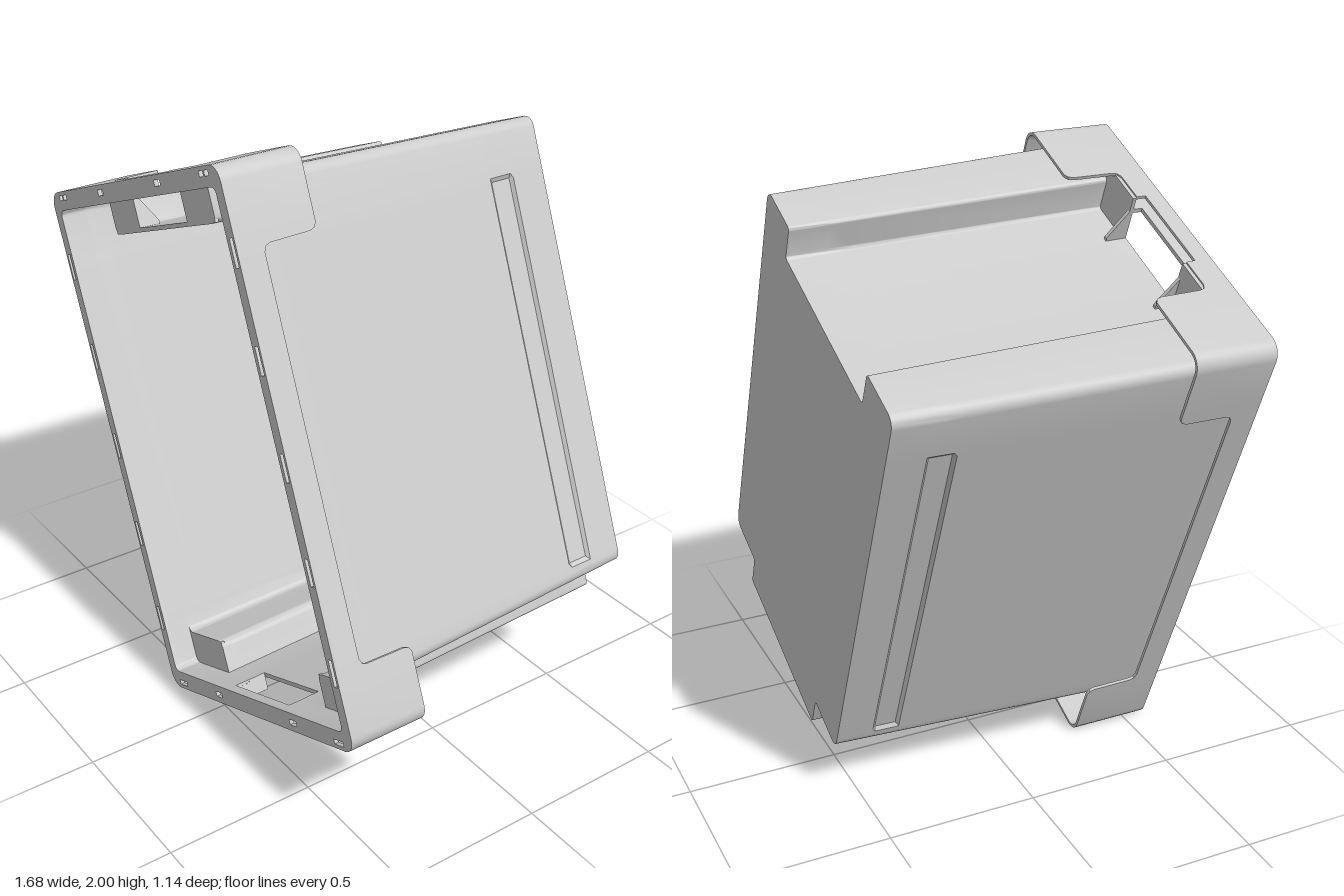
import * as THREE from 'three';
import { toCreasedNormals } from 'three/addons/utils/BufferGeometryUtils.js';

const material = new THREE.MeshStandardMaterial({ color: 0xcccccc });
const FRONT = 0.575, BACK = -0.57, SHELF = 0.49; // depth levels
const STEP_X = 0.32;                             // half width of the end-wall steps

function addMesh(group, name, geometry) {
  const mesh = new THREE.Mesh(geometry, material);
  mesh.name = name;
  group.add(mesh);
  return mesh;
}

function addBox(group, name, x0, x1, y0, y1, z0, z1) {
  addMesh(group, name, new THREE.BoxGeometry(x1 - x0, y1 - y0, z1 - z0))
    .position.set((x0 + x1) / 2, (y0 + y1) / 2, (z0 + z1) / 2);
}

// Half outline (x > 0, bottom to top) of [x, y, z, cornerRadius], mirrored to a closed
// counter-clockwise ring with its corners rounded.
function makeRing(half) {
  const pts = [...half, ...half.map(([x, y, z, r]) => [-x, y, z, r]).reverse()];
  const ring = [];
  pts.forEach(([x, y, z, r = 0], i) => {
    const c = new THREE.Vector3(x, y, z);
    if (!r) return ring.push(c);
    const toward = ([px, py]) =>
      new THREE.Vector3(px - x, py - y, 0).setLength(r).add(c);
    const a = toward(pts[(i + pts.length - 1) % pts.length]);
    const b = toward(pts[(i + 1) % pts.length]);
    // circular-looking corner: cubic with handles at 55% of the radius
    const curve = new THREE.CubicBezierCurve3(a, a.clone().lerp(c, 0.55), b.clone().lerp(c, 0.55), b);
    ring.push(...curve.getPoints(6));
  });
  return ring;
}

// Ring moved inward by t with mitred corners
function inset(ring, t) {
  const n = ring.length;
  const normal = (a, b) => new THREE.Vector2(b.y - a.y, a.x - b.x).normalize();
  return ring.map((p, i) => {
    const n1 = normal(ring[(i + n - 1) % n], p), n2 = normal(p, ring[(i + 1) % n]);
    const k = t / (1 + n1.dot(n2));
    return new THREE.Vector3(p.x - (n1.x + n2.x) * k, p.y - (n1.y + n2.y) * k, p.z);
  });
}

// Solid wall of thickness t through stacked rings; cells refused by keep() become openings
function wallGeometry(rings, t, keep = () => true) {
  const inner = rings.map((r) => inset(r, t));
  const n = rings[0].length, m = rings.length - 1, pos = [];
  const quad = (a, b, c, d) => [a, b, c, a, c, d].forEach((p) => pos.push(p.x, p.y, p.z));
  const solid = (i, j) => j >= 0 && j < m && keep((i + n) % n, j, n);
  for (let j = 0; j < m; j++) for (let i = 0; i < n; i++) {
    if (!solid(i, j)) continue;
    const k = (i + 1) % n;
    const [a, b, c, d] = [rings[j][i], rings[j][k], rings[j + 1][k], rings[j + 1][i]];
    const [e, f, g, h] = [inner[j][i], inner[j][k], inner[j + 1][k], inner[j + 1][i]];
    quad(a, b, c, d);
    quad(f, e, h, g);
    if (!solid(i, j - 1)) quad(e, f, b, a);
    if (!solid(i, j + 1)) quad(d, c, g, h);
    if (!solid(i - 1, j)) quad(e, a, d, h);
    if (!solid(i + 1, j)) quad(b, f, g, c);
  }
  const geometry = new THREE.BufferGeometry();
  geometry.setAttribute('position', new THREE.Float32BufferAttribute(pos, 3));
  return toCreasedNormals(geometry, 0.6);
}

// Tapered tub: half size at a depth, and its stepped outline
const halfX = (z) => 0.512 + 0.032 * (z - BACK);
const halfY = (z) => halfX(z) + 0.27;
const stepY = (z) => halfY(z) - 0.11;

function tubRing(z, groove = 0) {
  const x = halfX(z), y = halfY(z), s = stepY(z), g = x - groove;
  return makeRing([
    [0.17, -y, z], [STEP_X, -y, z, 0.012], [STEP_X, -s, z, 0.012], [x, -s, z, 0.035],
    [x, -0.625, z], [g, -0.612, z], [g, 0.612, z], [x, 0.625, z],
    [x, y, z, 0.035], [STEP_X, y, z, 0.012], [STEP_X, s, z, 0.012],
  ]);
}

// Upright band around the rim; each side has a lower edge given as [distance from middle, z]
function bandGeometry(x, y, r, t, top, cornerZ, bottomEdge, sideEdge, topEdge) {
  const down = (edge) => [...edge].reverse();
  const lower = makeRing([
    ...bottomEdge.map(([s, z]) => [s, -y, z]), [x, -y, cornerZ, r],
    ...down(sideEdge).map(([s, z]) => [x, -s, z]), ...sideEdge.map(([s, z]) => [x, s, z]),
    [x, y, cornerZ, r], ...down(topEdge).map(([s, z]) => [s, y, z]),
  ]);
  return wallGeometry([lower, lower.map((p) => new THREE.Vector3(p.x, p.y, top))], t);
}

// Rounded step between the shallow middle and the deep corner of the skirt
const notch = (s) => [
  [s - 0.024, SHELF], [s - 0.008, 0.483], [s - 0.002, 0.468],
  [s, 0.335], [s + 0.006, 0.318], [s + 0.02, 0.31],
];

const ringPath = (ring, Type) => new Type(ring.map((p) => new THREE.Vector2(p.x, p.y)));
const rectRing = (x, y, r) => makeRing([[x, -y, 0, r], [x, y, 0, r]]);

function slot(x, y, w, h) {
  return new THREE.Path([[-1, -1], [-1, 1], [1, 1], [1, -1]].map(
    ([a, b]) => new THREE.Vector2(x + a * w / 2, y + b * h / 2)));
}

export function createModel() {
  const model = new THREE.Group();
  model.name = 'storageCrate';
  const crate = new THREE.Group();
  crate.name = 'crate';
  crate.rotation.z = THREE.MathUtils.degToRad(22);
  crate.position.set(0, 1, -0.0025);
  model.add(crate);

  // Tub walls with a shallow side groove and the lower handle opening
  const levels = [[BACK], [-0.45], [-0.44, 0.01], [-0.37, 0.01], [-0.36], [0.43], [SHELF]];
  addMesh(crate, 'tubWalls', wallGeometry(
    levels.map(([z, groove]) => tubRing(z, groove)), 0.014,
    (i, j, n) => !(i === n - 1 && j === 5)));

  // Floor of the tub
  const floor = new THREE.ExtrudeGeometry(
    ringPath(inset(tubRing(BACK), 0.005), THREE.Shape), { depth: 0.014, bevelEnabled: false });
  floor.translate(0, 0, BACK);
  addMesh(crate, 'floor', floor);

  // Collar above the steps, and the outer skirt
  const cx = halfX(SHELF), cy = halfY(SHELF), sy = stepY(SHELF);
  addMesh(crate, 'collar', bandGeometry(cx, cy, 0.035, 0.014, FRONT - 0.002, SHELF,
    [[0.17, 0.54], [0.171, SHELF]], [[0.6, SHELF]], [[0.16, 0.52], [0.161, SHELF]]));
  addMesh(crate, 'skirt', bandGeometry(0.573, 0.863, 0.05, 0.01, FRONT - 0.002, 0.31,
    [[0.17, 0.54], [0.171, SHELF], ...notch(0.29)], notch(0.622),
    [[0.16, 0.52], [0.161, SHELF], ...notch(0.29)]));

  // Flat rim with its row of slots
  const rim = ringPath(rectRing(0.573, 0.863, 0.05), THREE.Shape);
  rim.holes.push(ringPath(rectRing(cx - 0.014, cy - 0.014, 0.022).reverse(), THREE.Path));
  for (const side of [-1, 1]) {
    for (const y of [-0.615, -0.31, 0, 0.31, 0.615]) rim.holes.push(slot(side * 0.555, y, 0.016, 0.085));
    rim.holes.push(slot(side * 0.197, 0.838, 0.036, 0.018), slot(side * 0.237, -0.834, 0.04, 0.018));
    rim.holes.push(slot(side * 0.472, 0.842, 0.022, 0.016), slot(side * 0.503, 0.842, 0.022, 0.016));
    rim.holes.push(slot(side * 0.495, -0.842, 0.05, 0.016));
  }
  const rimGeometry = new THREE.ExtrudeGeometry(rim, { depth: 0.014, bevelEnabled: false });
  rimGeometry.translate(0, 0, FRONT - 0.014);
  addMesh(crate, 'rim', toCreasedNormals(rimGeometry, 0.6));

  for (const side of [-1, 1]) {
    const box = (name, x0, x1, ...rest) =>
      addBox(crate, name, Math.min(side * x0, side * x1), Math.max(side * x0, side * x1), ...rest);
    // Ledges closing the steps
    box('cornerLedge', STEP_X - 0.01, cx - 0.003, -cy + 0.003, -sy + 0.012, SHELF - 0.012, SHELF);
    box('handleLedge', 0.16, STEP_X + 0.01, sy - 0.012, 0.858, SHELF - 0.012, SHELF);
    // Cheeks of the lower handle
    box('handleCheek', 0.17, 0.18, -0.858, -cy + 0.005, 0.43, FRONT - 0.01);

    // Triangular gussets beside the upper handle
    const gusset = new THREE.Shape([
      new THREE.Vector2(sy - 0.006, SHELF), new THREE.Vector2(sy - 0.006, 0.42),
      new THREE.Vector2(sy + 0.01, 0.42), new THREE.Vector2(sy + 0.12, SHELF)]);
    const plate = new THREE.ExtrudeGeometry(gusset, { depth: 0.012, bevelEnabled: false });
    plate.translate(0, 0, -0.006);
    // turn the profile plane from xy to yz
    plate.applyMatrix4(new THREE.Matrix4().set(0, 0, 1, side * 0.166, 1, 0, 0, 0, 0, 1, 0, 0, 0, 0, 0, 1));
    addMesh(crate, 'handleGusset', plate);
  }
  return model;
}
